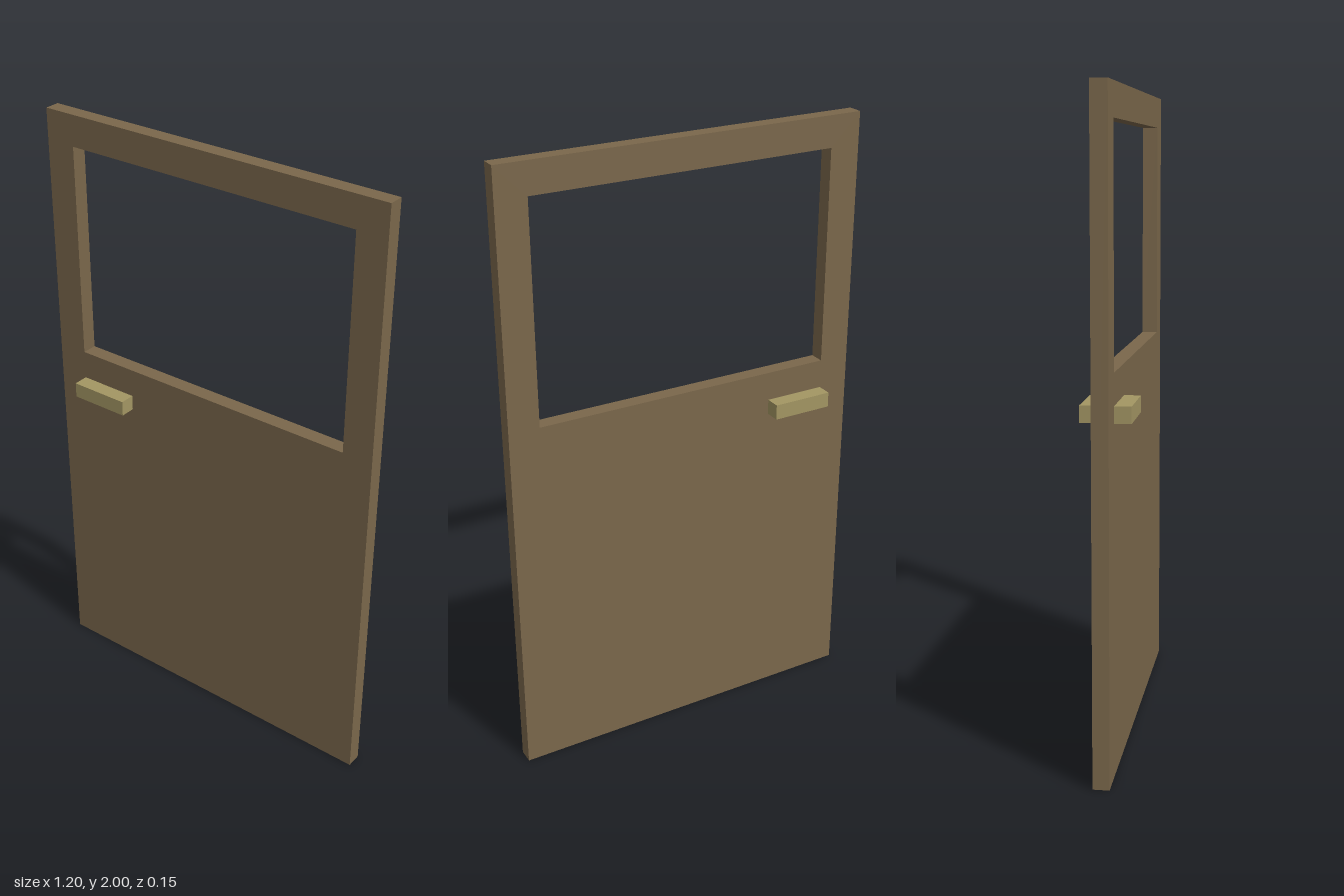
import * as THREE from 'three';

export function createModel() {
  const door = new THREE.Group();
  door.name = 'door';
  const wood = new THREE.MeshStandardMaterial({ color: 0x7a674b });
  const brass = new THREE.MeshStandardMaterial({ color: 0xa39663 });
  const thickness = 0.05;

  const rectangle = (path, x0, y0, x1, y1) =>
    path.moveTo(x0, y0).lineTo(x1, y0).lineTo(x1, y1).lineTo(x0, y1).closePath();

  // Door panel with a window opening
  const outline = new THREE.Shape();
  rectangle(outline, -0.6, 0, 0.6, 2);
  const opening = new THREE.Path();
  rectangle(opening, -0.5, 1.2, 0.5, 1.9);
  outline.holes.push(opening);
  const panelGeometry = new THREE.ExtrudeGeometry(outline, { depth: thickness, bevelEnabled: false });
  panelGeometry.translate(0, 0, -thickness / 2);
  const panel = new THREE.Mesh(panelGeometry, wood);
  panel.name = 'doorPanel';
  door.add(panel);

  // A handle on each face
  const handleGeometry = new THREE.BoxGeometry(0.2, 0.05, 0.05);
  for (const [name, side] of [['frontHandle', 1], ['backHandle', -1]]) {
    const handle = new THREE.Mesh(handleGeometry, brass);
    handle.name = name;
    handle.position.set(-0.4, 1.08, side * thickness);
    door.add(handle);
  }
  return door;
}
